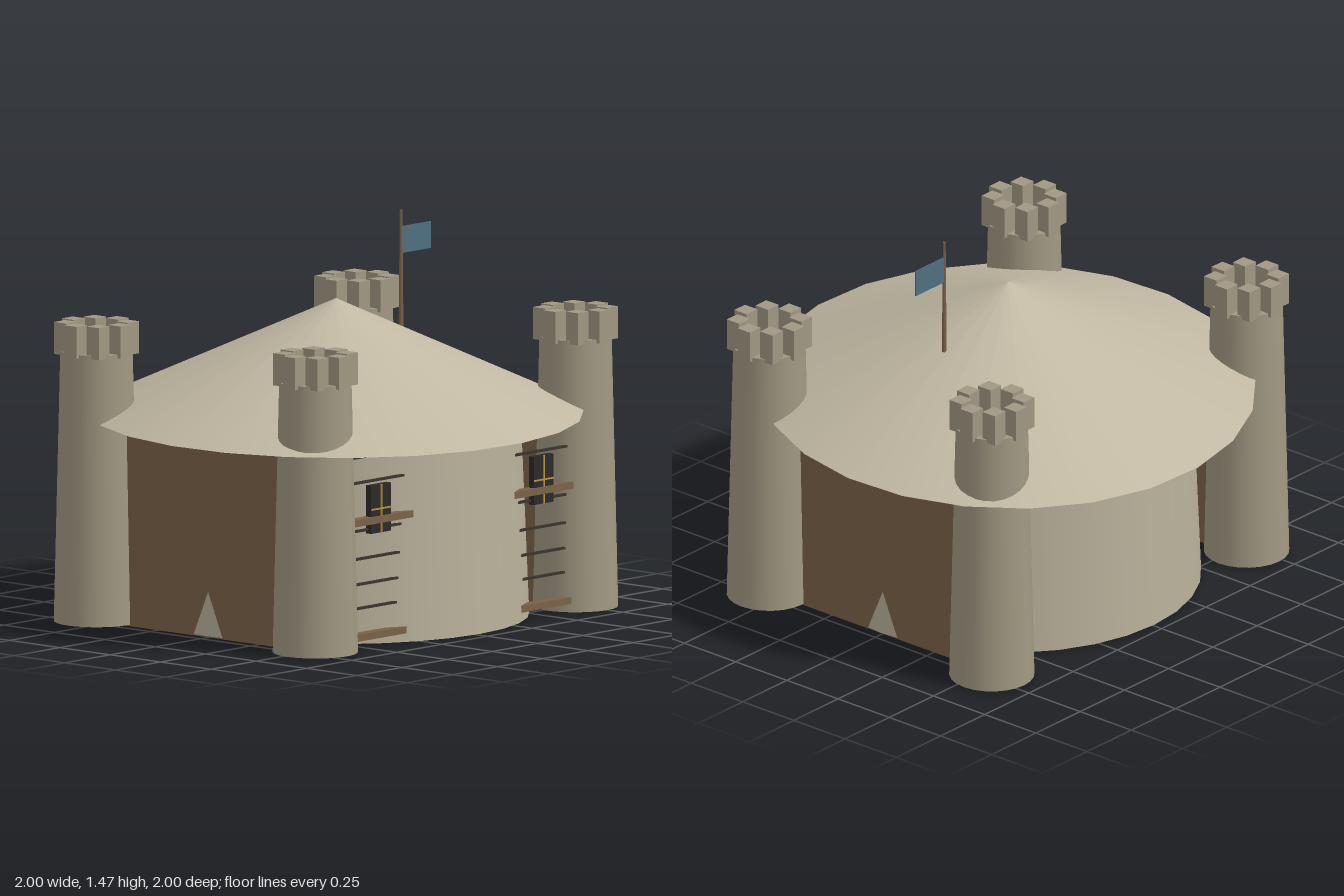
import * as THREE from 'three';

const mat = (color) => new THREE.MeshStandardMaterial({ color });

export function createModel() {
  const model = new THREE.Group();
  const drumStone = mat(0xb8b09a), roofStone = mat(0xc0b8a2), towerStone = mat(0xa09882);
  const wood = mat(0x7a6248), darkWood = mat(0x3a342c), glass = mat(0x2c2a28);
  const gold = mat(0xb8943c), cloth = mat(0x4f6f80);

  const add = (name, geometry, material, x, y, z, parent = model) => {
    const mesh = new THREE.Mesh(geometry, material);
    mesh.name = name;
    mesh.position.set(x, y, z);
    parent.add(mesh);
    return mesh;
  };
  const box = (name, w, h, d, material, x, y, z, parent) =>
    add(name, new THREE.BoxGeometry(w, h, d), material, x, y, z, parent);

  // Round keep, slightly narrower at the top
  add('keep', new THREE.CylinderGeometry(0.683, 0.715, 0.76, 32), drumStone, 0, 0.385, 0);

  // Oval roof, its long axis on the diagonal
  const roof = new THREE.ConeGeometry(1, 0.425, 24);
  roof.scale(1.082, 1, 0.917);
  roof.rotateY(Math.PI / 4);
  add('roof', roof, roofStone, 0, 0.9725, 0);

  // Corner towers with eight merlons each
  for (const sx of [-1, 1]) for (const sz of [-1, 1]) {
    const tower = new THREE.Group();
    tower.name = 'tower';
    tower.position.set(sx * 0.72, 0, sz * 0.543);
    model.add(tower);
    add('towerShaft', new THREE.CylinderGeometry(0.134, 0.158, 1.012, 24), towerStone, 0, 0.512, 0, tower);
    for (let i = 0; i < 8; i++) {
      const a = i * Math.PI / 4;
      box('merlon', 0.06, 0.12, 0.06, towerStone, 0.115 * Math.cos(a), 1.065, 0.115 * Math.sin(a), tower);
    }
  }

  // Wooden side walls between the towers
  for (const s of [-1, 1]) box('sideWall', 0.036, 0.76, 1.24, wood, s * 0.69, 0.38, 0);

  // Front beams and thin rails, running through the keep
  for (const y of [0.05, 0.48]) box('frontBeam', 1.21, 0.026, 0.04, wood, 0, y, 0.615);
  for (const y of [0.155, 0.245, 0.34, 0.445, 0.625, 0.72])
    box('frontRail', 1.21, 0.009, 0.012, darkWood, 0, y, 0.608);

  // Front windows with a crossed glazing bar
  for (const s of [-1, 1]) {
    const frame = new THREE.Group();
    frame.name = 'window';
    frame.position.set(s * 0.45, 0.52, 0.615);
    model.add(frame);
    box('windowPane', 0.11, 0.18, 0.025, glass, 0, 0, 0, frame);
    box('windowBarUpright', 0.006, 0.18, 0.006, gold, 0, 0, 0.013, frame);
    box('windowBarAcross', 0.11, 0.006, 0.006, gold, 0, 0, 0.013, frame);
  }

  // Flag on a tapering pole
  add('flagPole', new THREE.CylinderGeometry(0.005, 0.009, 0.445, 8), wood, 0.36, 1.25, 0);
  box('flag', 0.162, 0.1, 0.005, cloth, 0.443, 1.36, 0);

  return model;
}
